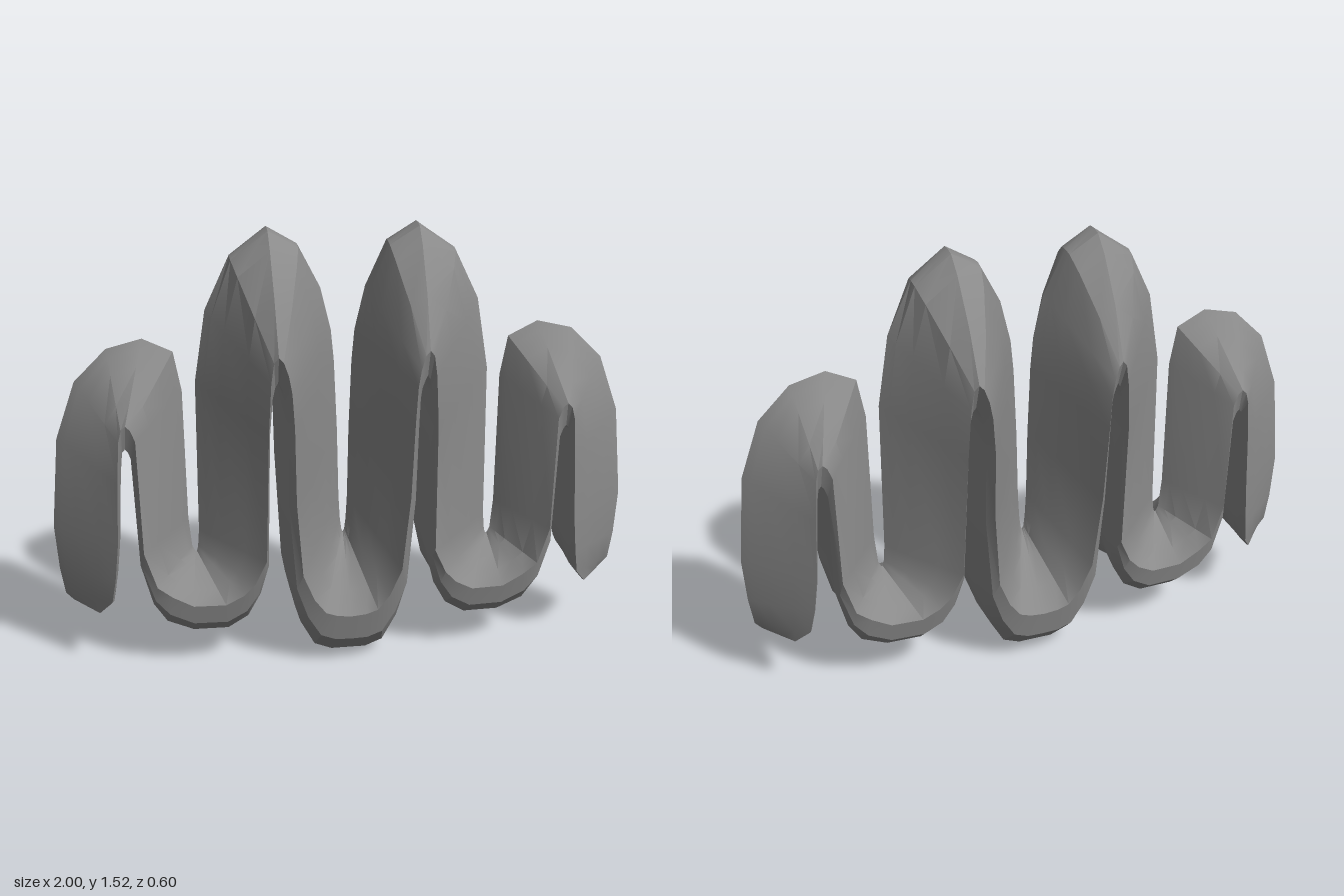
import * as THREE from 'three';
import { toCreasedNormals } from 'three/addons/utils/BufferGeometryUtils.js';

const { lerp, smoothstep } = THREE.MathUtils;

// Stations from the middle to the left end: ridge x,y, rim x,y, base x,y
const CENTRE_BEND = [
  [0, 0.41, 0, 0.195, 0, 0.02],
  [0.003, 0.415, 0.05, 0.2, 0.06, 0.02],
  [0.005, 0.42, 0.09, 0.215, 0.12, 0.045],
  [0.01, 0.46, 0.13, 0.27, 0.17, 0.14],
  [0.015, 0.55, 0.17, 0.37, 0.205, 0.27],
];
const TALL_LOBE = [
  [0.02, 0.8, 0.192, 0.65, 0.218, 0.62],
  [0.03, 1.05, 0.198, 0.93, 0.22, 0.9],
  [0.04, 1.16, 0.205, 1.05, 0.223, 0.99],
  [0.075, 1.31, 0.215, 1.11, 0.228, 1.02],
  [0.15, 1.46, 0.23, 1.155, 0.237, 1.04],
  [0.25, 1.52, 0.245, 1.17, 0.245, 1.055],
  [0.375, 1.43, 0.26, 1.15, 0.253, 1.04],
  [0.46, 1.25, 0.27, 1.08, 0.262, 1.0],
  [0.5, 1.0, 0.28, 0.9, 0.272, 0.88],
];
const OUTER_BEND = [
  [0.505, 0.45, 0.29, 0.42, 0.278, 0.38],
  [0.51, 0.39, 0.33, 0.33, 0.305, 0.25],
  [0.512, 0.38, 0.37, 0.285, 0.35, 0.165],
  [0.515, 0.37, 0.43, 0.25, 0.42, 0.12],
  [0.52, 0.37, 0.54, 0.25, 0.54, 0.12],
  [0.525, 0.38, 0.61, 0.29, 0.63, 0.16],
  [0.53, 0.39, 0.66, 0.33, 0.675, 0.23],
  [0.54, 0.5, 0.7, 0.46, 0.713, 0.38],
];
const SMALL_LOBE = [
  [0.545, 0.97, 0.71, 0.87, 0.727, 0.78],
  [0.57, 1.11, 0.725, 0.91, 0.737, 0.81],
  [0.67, 1.16, 0.74, 0.925, 0.745, 0.82],
  [0.79, 1.13, 0.755, 0.91, 0.753, 0.81],
  [0.9, 1.02, 0.765, 0.87, 0.758, 0.77],
  [0.97, 0.82, 0.775, 0.72, 0.765, 0.68],
  [1.0, 0.5, 0.785, 0.5, 0.777, 0.48],
  [0.99, 0.34, 0.8, 0.36, 0.79, 0.36],
  [0.975, 0.24, 0.815, 0.27, 0.803, 0.275],
  [0.95, 0.212, 0.86, 0.205, 0.85, 0.21],
];

// Half depth at the rim: bulging on the tall lobes, even on the outer ones, drawn in at the tips
function halfDepth(x, y) {
  const tall = Math.min(0.3, 0.215 + 0.09 * y) - 0.35 * THREE.MathUtils.clamp(x - 0.2, 0, 0.1);
  return lerp(tall, 0.187, smoothstep(x, 0.3, 0.52)) - 1.2 * Math.max(0, x - 0.79);
}

// Closed cross-section: ridge, rounded flank, rim, band, base edge, base middle, and back
function section([ax, ay, ex, ey, bx, by], side) {
  const d = halfDepth(ex, ey);
  const round = smoothstep(ay, 1.15, 1.5);
  const leg = smoothstep(ey, 0.33, 0.6);
  const groove = lerp(-0.1, 0.35, smoothstep(ex, 0.1, 0.4));
  const flank = (t, z) => [side * lerp(ax, ex, t), lerp(ay, ey, t), z * d];
  const band = (t, z) => [side * lerp(ex, bx, t), lerp(ey, by, t), z * d];
  const front = [
    flank(0.12 - 0.11 * round, 0.12),
    flank(0.33 - 0.18 * round, 0.33),
    flank(0.7 - 0.16 * round, 0.7),
    band(0, 1),
    band(lerp(0.55, 0.85, leg), lerp(0.93, 0.87, leg)),
    band(1, 0.58),
  ];
  const back = front.map(([x, y, z]) => [x, y, -z]).reverse();
  return [flank(0, 0), ...front, band(1 - groove, 0), ...back];
}

// Skin the sections and close both ends
function sweep(rings) {
  const n = rings[0].length;
  const positions = rings.flat(2);
  const index = [];
  for (let i = 0; i < rings.length - 1; i++) {
    for (let j = 0; j < n; j++) {
      const a = i * n + j, b = i * n + (j + 1) % n, c = a + n, d = b + n;
      index.push(a, b, c, b, d, c);
    }
  }
  for (const end of [0, rings.length - 1]) {
    const centre = positions.length / 3;
    positions.push(Math.sign(rings[end][0][0]) * 0.89, 0.2, 0);
    for (let j = 0; j < n; j++) {
      const a = end * n + j, b = end * n + (j + 1) % n;
      if (end) index.push(centre, a, b);
      else index.push(centre, b, a);
    }
  }
  const geometry = new THREE.BufferGeometry();
  geometry.setAttribute('position', new THREE.Float32BufferAttribute(positions, 3));
  geometry.setIndex(index);
  return toCreasedNormals(geometry, 0.5);
}

export function createModel() {
  const group = new THREE.Group();
  group.name = 'serpentineForm';
  const half = [...CENTRE_BEND, ...TALL_LOBE, ...OUTER_BEND, ...SMALL_LOBE];
  // Mirrored right half, then the left half, sharing the middle section
  const rings = [
    ...half.slice(1).reverse().map((s) => section(s, -1)),
    ...half.map((s) => section(s, 1)),
  ];
  const body = new THREE.Mesh(sweep(rings), new THREE.MeshStandardMaterial({ color: 0x8a8a8a }));
  body.name = 'foldedBody';
  group.add(body);
  return group;
}
